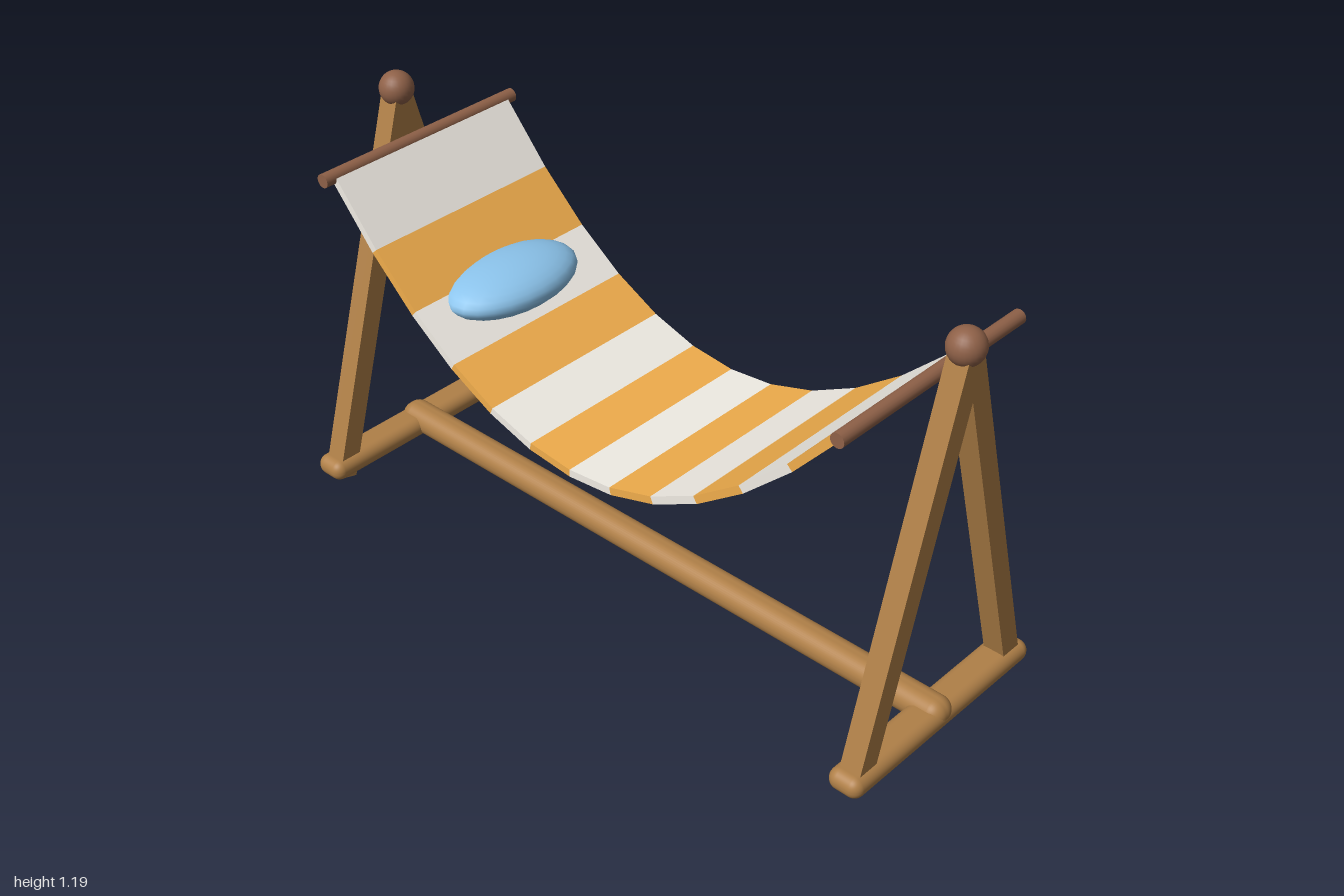
import * as THREE from 'three';
import { RoundedBoxGeometry } from 'three/addons/geometries/RoundedBoxGeometry.js';

const paint = (color) => new THREE.MeshStandardMaterial({ color });

export function createModel() {
  const group = new THREE.Group();
  const wood = paint(0xb08048);
  const darkWood = paint(0x8f6148);
  const stripes = [paint(0xf0ad4c), paint(0xf0ece4)];
  const blue = paint(0x8cc4ec);

  function add(name, geometry, material, x, y, z, parent = group) {
    const mesh = new THREE.Mesh(geometry, material);
    mesh.name = name;
    mesh.position.set(x, y, z);
    parent.add(mesh);
    return mesh;
  }

  // Long ground beam joining the two end frames
  add('groundBeam', new RoundedBoxGeometry(0.09, 0.082, 2, 5, 0.04), wood, 0, 0.054, 0);

  // A-shaped end frames, with the cloth bars hung just inside them
  const foot = new THREE.Vector2(0.316, 0.009);
  const apex = new THREE.Vector2(0, 1.115);
  const legLength = foot.distanceTo(apex);
  const lean = Math.atan2(foot.x, apex.y - foot.y);
  for (const end of [1, -1]) {
    const frame = new THREE.Group();
    frame.name = end > 0 ? 'frontFrame' : 'backFrame';
    frame.position.z = 0.95 * end;
    group.add(frame);

    add('footRail', new RoundedBoxGeometry(0.732, 0.062, 0.1, 5, 0.03), wood, 0, 0.044, 0, frame);
    for (const side of [1, -1]) {
      const leg = add(side > 0 ? 'leftLeg' : 'rightLeg', new THREE.BoxGeometry(0.062, legLength, 0.062),
        wood, side * foot.x / 2, (foot.y + apex.y) / 2, 0, frame);
      leg.rotation.z = side * lean;
    }
    add('finial', new THREE.SphereGeometry(0.049, 24, 16), darkWood, 0, 1.14, 0, frame);

    const bar = add(end > 0 ? 'frontClothBar' : 'backClothBar',
      new THREE.CylinderGeometry(0.02, 0.02, 0.692, 16), darkWood, 0, 1.021, 0.865 * end);
    bar.rotation.z = Math.PI / 2;
  }

  // Hanging cloth: mitred straight panels along a parabola, in two alternating colours
  const count = 12, halfSpan = 0.855, sag = 0.535, half = 0.011, width = 0.63;
  const section = (i) => {
    const t = 1 - (2 * i) / count;
    const centre = new THREE.Vector2(t * halfSpan, 0.483 + sag * t * t);
    const normal = new THREE.Vector2((-2 * sag * t) / halfSpan, 1).normalize().multiplyScalar(half);
    return [centre.clone().add(normal), centre.clone().sub(normal)];
  };
  const cloth = new THREE.Group();
  cloth.name = 'cloth';
  group.add(cloth);
  for (let i = 0; i < count; i++) {
    const [topA, lowA] = section(i);
    const [topB, lowB] = section(i + 1);
    const panel = new THREE.ExtrudeGeometry(new THREE.Shape([topA, topB, lowB, lowA]),
      { depth: width, bevelEnabled: false });
    // Turn the (z, y) outline so that it is extruded across x
    panel.translate(0, 0, -width / 2).rotateY(-Math.PI / 2);
    add('clothPanel', panel, stripes[i % 2], 0, 0, 0, cloth);
  }

  // Pillow resting through the back slope of the cloth
  const pillow = add('pillow', new THREE.SphereGeometry(1, 24, 16), blue, 0, 0.706, -0.525);
  pillow.scale.set(0.22, 0.067, 0.132);

  return group;
}
